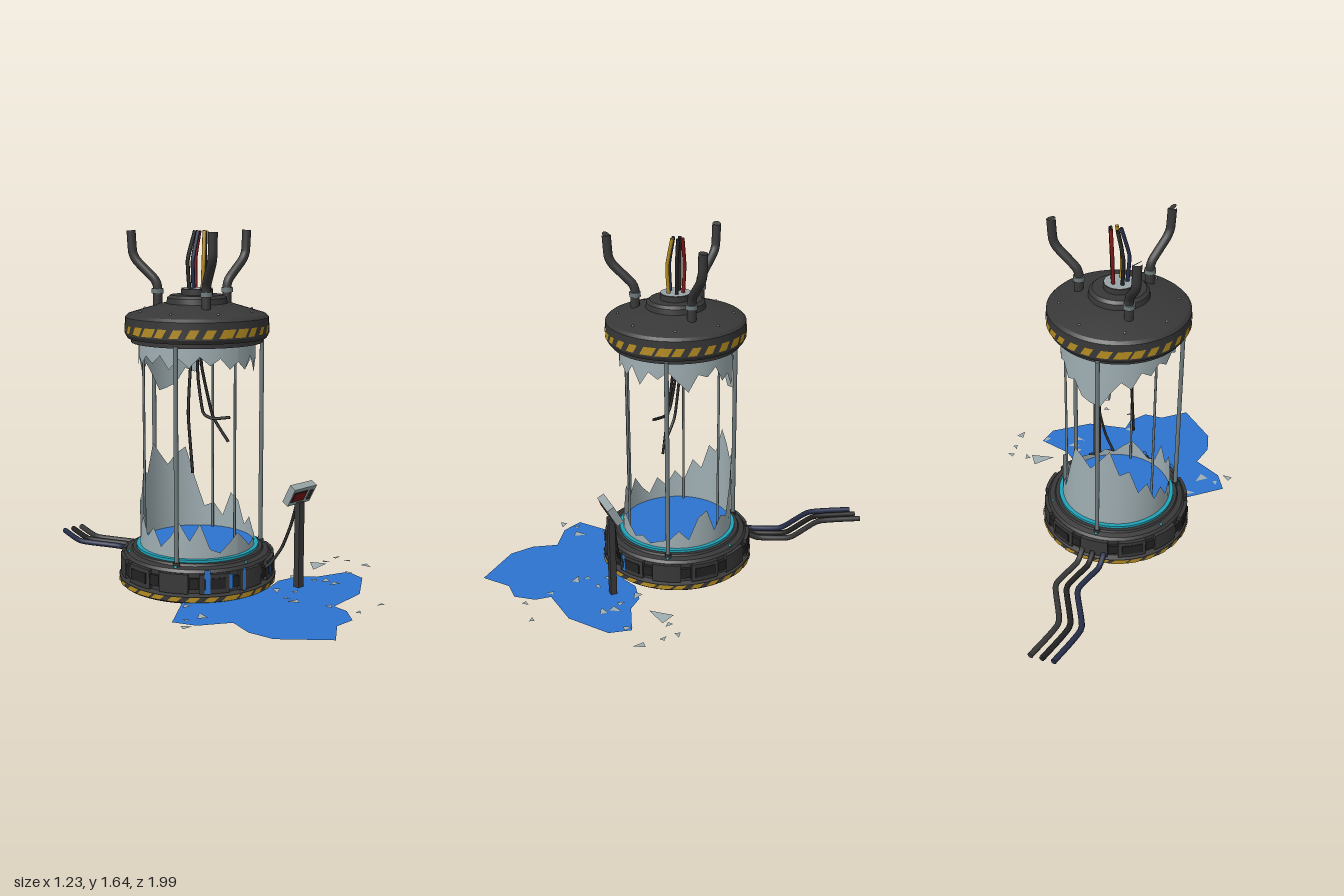
import * as THREE from 'three';
import { toCreasedNormals } from 'three/addons/utils/BufferGeometryUtils.js';

const mat = (name, color, side = THREE.FrontSide) => {
  const m = new THREE.MeshStandardMaterial({ color, side });
  m.name = name;
  return m;
};
const V = (x, y, z) => new THREE.Vector3(x, y, z);

export function createModel() {
  const M = {
    body: mat('dark metal', 0x383838),
    rubber: mat('black rubber', 0x222222),
    steel: mat('steel', 0x6f7b7d),
    glass: mat('glass', 0xa0afb3, THREE.DoubleSide),
    yellow: mat('hazard yellow', 0xb48c22, THREE.DoubleSide),
    fluid: mat('blue fluid', 0x2c74d0, THREE.DoubleSide),
    cyan: mat('cyan light', 0x20a3b8),
    red: mat('dark red', 0x7c1616),
    navy: mat('navy cable', 0x252d48),
    casing: mat('light casing', 0x98a4a6),
  };
  const model = new THREE.Group();
  model.name = 'brokenTank';
  const tank = new THREE.Group();
  tank.name = 'tank';
  tank.position.set(-0.12, 0, 0.025);
  model.add(tank);

  const add = (parent, name, geo, material, x = 0, y = 0, z = 0) => {
    const m = new THREE.Mesh(geo, material);
    m.name = name;
    m.position.set(x, y, z);
    parent.add(m);
    return m;
  };
  const lathe = (parent, name, pts, material) => add(parent, name,
    toCreasedNormals(new THREE.LatheGeometry(pts.map(p => new THREE.Vector2(...p)), 56), 0.45), material);
  const rod = (parent, name, r, h, material, x, y, z, n = 12) =>
    add(parent, name, new THREE.CylinderGeometry(r, r, h, n), material, x, y + h / 2, z);
  // Cable or pipe through points, closed at its far end
  const tube = (parent, name, pts, r, material, sides = 8) => {
    const curve = new THREE.CatmullRomCurve3(pts, false, 'catmullrom', 0.25);
    add(parent, name, new THREE.TubeGeometry(curve, 28, r, sides), material);
    const end = pts[pts.length - 1];
    const cap = add(parent, name + 'End', new THREE.CircleGeometry(r, sides), material, end.x, end.y, end.z);
    cap.lookAt(end.clone().add(curve.getTangent(1)));
  };
  // Plane wrapped round the y axis: f(u, v) gives [angle, radius, y]
  const wrap = (parent, name, n, f, material) => {
    const g = new THREE.PlaneGeometry(1, 1, n, 1), p = g.attributes.position;
    for (let i = 0; i < p.count; i++) {
      const [a, r, y] = f(p.getX(i) + 0.5, p.getY(i) + 0.5);
      p.setXYZ(i, Math.sin(a) * r, y, Math.cos(a) * r);
    }
    g.computeVertexNormals();
    return add(parent, name, g, material);
  };
  // Slanted, unevenly worn hazard stripes
  const stripes = (name, r0, r1, y0, y1, count) => {
    for (let i = 0; i < count; i++) {
      const pitch = Math.PI * 2 / count, w = pitch * (0.55 + 0.3 * Math.max(0, Math.sin(i * 1.1 + 4)));
      wrap(tank, name, 4, (u, v) => [i * pitch + u * w + v * pitch * 0.3,
        THREE.MathUtils.lerp(r0, r1, v), THREE.MathUtils.lerp(y0, y1, v)], M.yellow);
    }
  };

  // Base
  lathe(tank, 'base', [[0, 0], [0.36, 0], [0.368, 0.008], [0.368, 0.032], [0.345, 0.042], [0.345, 0.135],
    [0.335, 0.148], [0.31, 0.155], [0.305, 0.165], [0, 0.165]], M.body);
  stripes('baseStripe', 0.371, 0.371, 0.009, 0.031, 28);
  for (let i = 0; i < 12; i++) {
    const a = i * Math.PI / 6, s = new THREE.Shape();
    s.absarc(0, 0, 0.362, a - 0.19, a + 0.19, false);
    s.absarc(0, 0, 0.33, a + 0.19, a - 0.19, true);
    const g = new THREE.ExtrudeGeometry(s, { depth: 0.09, bevelEnabled: false, curveSegments: 6 });
    add(tank, 'baseBlock', toCreasedNormals(g.rotateX(-Math.PI / 2), 0.4), M.body, 0, 0.044, 0);
    const b = a + Math.PI / 12;
    const clamp = add(tank, 'baseClamp', new THREE.BoxGeometry(0.045, 0.05, 0.03), M.rubber,
      Math.sin(b) * 0.345, 0.09, Math.cos(b) * 0.345);
    clamp.rotation.y = b;
    if (i % 2) {
      const plate = add(tank, 'basePlate', new THREE.BoxGeometry(0.1, 0.05, 0.008), M.rubber,
        Math.sin(a) * 0.36, 0.09, Math.cos(a) * 0.36);
      plate.rotation.y = a;
    } else {
      add(tank, 'baseLight', new THREE.SphereGeometry(0.007, 8, 6), M.cyan, Math.sin(a) * 0.325, 0.152, Math.cos(a) * 0.325);
    }
  }
  lathe(tank, 'glowRing', [[0.265, 0.165], [0.288, 0.165], [0.288, 0.177], [0.265, 0.177]], M.cyan);
  add(tank, 'fluidSurface', new THREE.CircleGeometry(0.268, 48).rotateX(-Math.PI / 2), M.fluid, 0, 0.18, 0);

  // Fluid running down the front of the base
  for (const [a, w, y0, y1] of [[-0.62, 0.07, 0.045, 0.155], [-0.32, 0.05, 0.06, 0.13], [-0.13, 0.045, 0.04, 0.15], [0.4, 0.05, 0.05, 0.14]])
    wrap(tank, 'fluidDrip', 3, (u, v) => [a + (u - 0.5) * w, 0.3665, y0 + (y1 - y0) * v], M.fluid);

  // Broken glass, edge heights every ten degrees from the front towards the left
  const low = [.28, .24, .2, .22, .19, .21, .22, .27, .22, .33, .36, .24, .3, .28, .42, .58, .55, .5,
    .56, .62, .48, .5, .36, .4, .28, .33, .25, .3, .22, .27, .34, .26, .34, .22, .2, .24];
  const high = [1.06, 1.02, 1.08, 1.0, 1.07, 1.04, 1.08, 1.03, 0.98, 1.06, 1.04, 1.08, 1.0, 1.02, .95, .97, .9, .88,
    .87, .95, 1.01, .97, 1.05, 1.02, 1.07, 1.04, 1.08, 1.05, 1.09, 1.03, 1.08, 1.04, 1.09, 1.05, 1.08, 1.03];
  const edge = (list, u) => list[Math.round(u * 36) % 36];
  wrap(tank, 'lowerGlass', 36, (u, v) => [u * Math.PI * 2, 0.269, v > 0.5 ? edge(low, u) : 0.166], M.glass);
  wrap(tank, 'upperGlass', 36, (u, v) => [u * Math.PI * 2, 0.269, v > 0.5 ? 1.15 : edge(high, u)], M.glass);

  // Posts: three outer, three thin inner
  for (let i = 0; i < 3; i++) {
    const a = Math.PI / 3 + i * Math.PI * 2 / 3, b = a - Math.PI / 3;
    rod(tank, 'outerPost', 0.0105, 0.99, M.steel, Math.sin(a) * 0.309, 0.15, Math.cos(a) * 0.309);
    rod(tank, 'postFoot', 0.016, 0.02, M.body, Math.sin(a) * 0.309, 0.15, Math.cos(a) * 0.309);
    rod(tank, 'innerPost', 0.006, 0.99, M.steel, Math.sin(b) * 0.25, 0.16, Math.cos(b) * 0.25, 8);
  }

  // Lid
  lathe(tank, 'lid', [[0, 1.145], [0.262, 1.145], [0.262, 1.13], [0.302, 1.13], [0.302, 1.148], [0.318, 1.15], [0.328, 1.168],
    [0.328, 1.245], [0.315, 1.258], [0.17, 1.302], [0.14, 1.305], [0.136, 1.33], [0.122, 1.343], [0, 1.343]], M.body);
  lathe(tank, 'lidHub', [[0.072, 1.34], [0.072, 1.37], [0.06, 1.372], [0.06, 1.36]], M.body);
  add(tank, 'hubPlate', new THREE.CircleGeometry(0.07, 32).rotateX(-Math.PI / 2), M.casing, 0, 1.3735, 0);
  stripes('lidStripe', 0.331, 0.331, 1.175, 1.213, 28);
  for (let i = 0; i < 8; i++) {
    const a = (i + 0.5) * Math.PI / 4;
    add(tank, 'lidBolt', new THREE.SphereGeometry(0.006, 8, 6), M.steel, Math.sin(a) * 0.27, 1.273, Math.cos(a) * 0.27);
  }
  // Worn patches under the lid
  for (let i = 0; i < 6; i++)
    wrap(tank, 'lidPatch', 3, (u, v) => [i * 1.05 + u * 0.4 + v * 0.15, 0.16 + 0.07 * v, 1.143], M.yellow);

  // Three bent pipes on the lid
  for (let i = 0; i < 3; i++) {
    const arm = new THREE.Group();
    arm.name = 'lidPipe';
    arm.rotation.y = i * Math.PI * 2 / 3;
    tank.add(arm);
    tube(arm, 'pipe', [V(0.19, 1.28, 0), V(0.19, 1.375, 0), V(0.205, 1.41, 0), V(0.288, 1.49, 0), V(0.31, 1.53, 0), V(0.317, 1.63, 0)], 0.021, M.body, 14);
    rod(arm, 'pipeCollar', 0.027, 0.022, M.steel, 0.19, 1.345, 0, 16);
  }

  // Loose wires above the hub
  [M.navy, M.yellow, M.rubber, M.red, M.rubber].forEach((m, i) => {
    const a = i * Math.PI * 0.4 - 1.2, x = Math.sin(a), z = Math.cos(a);
    tube(tank, 'topWire', [V(x * 0.035, 1.36, z * 0.035), V(x * 0.042, 1.5, z * 0.042), V(x * 0.025 + 0.022, 1.63, z * 0.025)], 0.009, m);
  });
  // Wires hanging inside
  tube(model, 'hangingWire', [V(-0.13, 1.15, 0.02), V(-0.155, 1.03, 0.02), V(-0.185, 0.8, 0.035), V(-0.19, 0.53, 0.07)], 0.007, M.rubber);
  tube(model, 'hangingWire', [V(-0.12, 1.15, 0.02), V(-0.118, 0.95, 0.03), V(-0.115, 0.8, 0.06), V(-0.09, 0.775, 0.1), V(-0.05, 0.785, 0.17)], 0.007, M.rubber);
  tube(model, 'hangingWire', [V(-0.1, 1.15, 0.02), V(-0.085, 1.0, 0.02), V(-0.055, 0.78, 0.06), V(-0.02, 0.66, 0.13)], 0.007, M.rubber);

  // Floor cables at the back
  [M.navy, M.rubber, M.body].forEach((m, i) => {
    const d = i * 0.055;
    tube(model, 'floorCable', [V(-0.165 + d, 0.065, -0.3), V(-0.17 + d, 0.055, -0.345), V(-0.165 + d, 0.025, -0.4), V(-0.115 + d, 0.017, -0.56),
      V(-0.21 + d, 0.017, -0.78), V(-0.155 + d, 0.015, -1.0)], 0.014, m, 10);
  });

  // Control panel, its head leaning towards the front
  add(model, 'panelPost', new THREE.BoxGeometry(0.034, 0.41, 0.03), M.body, 0.122, 0.205, 0.452);
  const head = new THREE.Group();
  head.name = 'panelHead';
  head.position.set(0.122, 0.45, 0.452);
  head.rotation.x = 0.5;
  model.add(head);
  add(head, 'panelCase', new THREE.BoxGeometry(0.146, 0.096, 0.036), M.casing);
  add(head, 'screenFrame', new THREE.BoxGeometry(0.086, 0.056, 0.004), M.body, -0.024, 0.002, 0.019);
  add(head, 'screen', new THREE.BoxGeometry(0.074, 0.044, 0.004), M.red, -0.024, 0.002, 0.021);
  for (let i = -1; i < 2; i++)
    add(head, 'panelButton', new THREE.BoxGeometry(0.018, 0.013, 0.008), M.body, 0.047, i * 0.02, 0.02);
  tube(model, 'panelCable', [V(0.12, 0.41, 0.44), V(0.095, 0.3, 0.425), V(0.06, 0.2, 0.405), V(0.01, 0.125, 0.38), V(-0.02, 0.1, 0.36)], 0.007, M.rubber);

  // Spilled fluid
  const outline = [[-.42, .25], [-.6, .39], [-.55, .49], [-.415, .57], [-.445, .69], [-.42, .81], [-.245, .99], [-.125, .895],
    [-.025, .895], [.04, .81], [.045, .735], [.25, .71], [.43, .58], [.45, .475], [.285, .42], [.22, .355], [.11, .335], [.03, .365], [-.12, .2]];
  const pool = new THREE.Shape(outline.map(([x, z]) => new THREE.Vector2(x, -z)));
  add(model, 'puddle', new THREE.ShapeGeometry(pool).rotateX(-Math.PI / 2), M.fluid, 0, 0.006, 0);

  // Glass splinters on the floor: x, z, size
  const splinters = [[.4, .32, .06], [.57, .3, .02], [.57, .37, .018], [.58, .485, .028], [.27, .49, .03], [.26, .55, .028],
    [.2, .36, .03], [.23, .45, .02], [0, .43, .028], [.05, .5, .02], [-.05, .58, .03], [-.04, .53, .018], [-.47, .43, .035],
    [-.44, .3, .025], [-.6, .48, .026], [-.55, .42, .018], [.02, .73, .022], [.06, .86, .018], [.2, .87, .018], [.48, .31, .02], [.43, .49, .022]];
  splinters.forEach(([x, z, s], i) => {
    const shape = new THREE.Shape([[-s, -s * 0.5], [s, -s * 0.2], [s * 0.3, s]].map(p => new THREE.Vector2(...p)));
    const m = add(model, 'glassSplinter', new THREE.ShapeGeometry(shape).rotateX(-Math.PI / 2), M.glass, x, 0.011, z);
    m.rotation.y = i * 2.4;
  });
  return model;
}
